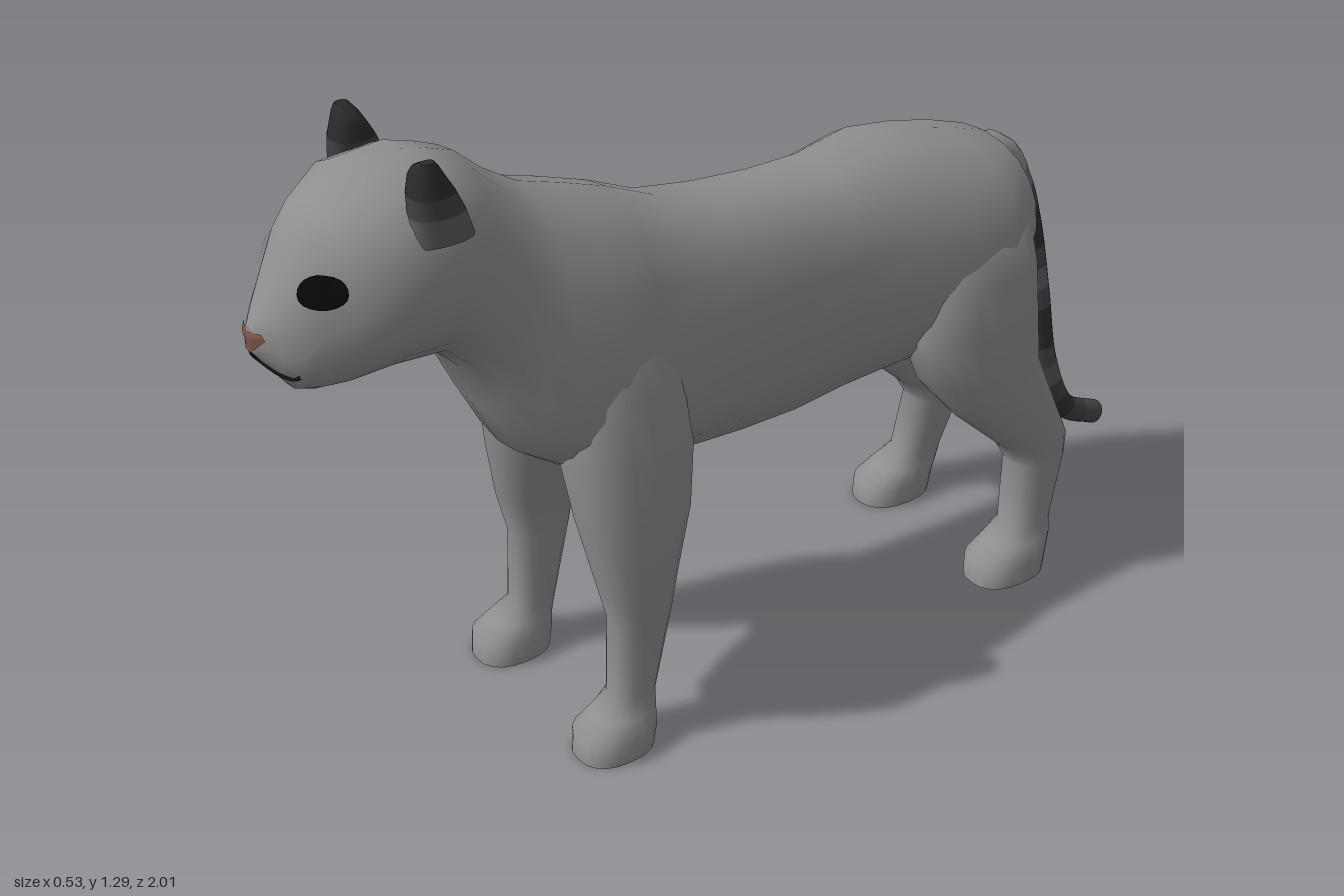
import * as THREE from 'three';

const SEG = 20;
const FUR = 0x8e8e8e;

// Skin a list of closed rings (arrays of [x, y, z]) and cap both ends.
function loft(rings) {
  const n = rings[0].length, pos = rings.flat(2), idx = [];
  for (let i = 0; i < rings.length - 1; i++) {
    for (let j = 0; j < n; j++) {
      const a = i * n + j, b = i * n + (j + 1) % n;
      idx.push(a, b, a + n, b, b + n, a + n);
    }
  }
  [rings[0], rings[rings.length - 1]].forEach((ring, end) => {
    const base = pos.length / 3;
    pos.push(...ring.flat());
    pos.push(...[0, 1, 2].map(k => ring.reduce((s, p) => s + p[k], 0) / n));
    for (let j = 0; j < n; j++) {
      const a = base + j, b = base + (j + 1) % n;
      end ? idx.push(a, b, base + n) : idx.push(b, a, base + n);
    }
  });
  const g = new THREE.BufferGeometry();
  g.setAttribute('position', new THREE.Float32BufferAttribute(pos, 3));
  g.setIndex(idx);
  g.computeVertexNormals();
  return g;
}

function part(name, geometry, color = FUR) {
  const m = new THREE.Mesh(geometry, new THREE.MeshStandardMaterial({ color }));
  m.name = name;
  return m;
}

const spow = (v, e) => Math.sign(v) * Math.pow(Math.abs(v), e);
const circle = f => Array.from({ length: SEG }, (_, j) => {
  const t = j / SEG * Math.PI * 2;
  return f(Math.cos(t), Math.sin(t));
});

// Upright limb: rows of [y, xInner, xOuter, zBack, zFront], rising in y.
function limb(rows, side) {
  return loft(rows.map(([y, x0, x1, z0, z1]) => circle((c, s) => [
    side * (x0 + x1) / 2 + (x1 - x0) / 2 * spow(c, 0.85),
    y,
    (z0 + z1) / 2 - (z1 - z0) / 2 * spow(s, 0.85),
  ])));
}

// Trunk, neck and head: [z, top, bottom, half width, height of widest point]
const trunk = [
  [-0.625, 0.925, 0.76, 0.10, 0.84],
  [-0.60, 0.95, 0.67, 0.175, 0.80],
  [-0.52, 0.975, 0.58, 0.215, 0.75],
  [-0.42, 1.00, 0.54, 0.218, 0.74],
  [-0.30, 1.02, 0.53, 0.195, 0.75],
  [-0.17, 1.00, 0.505, 0.168, 0.76],
  [-0.05, 1.00, 0.492, 0.17, 0.75],
  [0.08, 1.01, 0.497, 0.178, 0.75],
  [0.20, 1.03, 0.512, 0.187, 0.74],
  [0.30, 1.075, 0.52, 0.205, 0.72],
  [0.40, 1.11, 0.53, 0.22, 0.70],
  [0.48, 1.135, 0.585, 0.205, 0.76],
  [0.55, 1.18, 0.63, 0.18, 0.87],
  [0.60, 1.225, 0.73, 0.17, 0.97],
  [0.65, 1.243, 0.84, 0.172, 1.04],
  [0.70, 1.255, 0.895, 0.185, 1.06],
  [0.80, 1.245, 0.903, 0.187, 1.06],
  [0.87, 1.205, 0.882, 0.143, 1.04],
  [0.91, 1.17, 0.878, 0.11, 1.015],
  [0.945, 1.105, 0.888, 0.087, 0.975],
  [0.972, 1.055, 0.925, 0.062, 0.975],
  [1.00, 1.015, 0.965, 0.018, 0.99],
];

const foreleg = [
  [0, 0.125, 0.26, 0.365, 0.525],
  [0.045, 0.12, 0.265, 0.36, 0.52],
  [0.08, 0.135, 0.245, 0.355, 0.475],
  [0.11, 0.14, 0.228, 0.35, 0.442],
  [0.28, 0.135, 0.232, 0.308, 0.435],
  [0.37, 0.115, 0.248, 0.295, 0.455],
  [0.50, 0.075, 0.25, 0.255, 0.478],
  [0.63, 0.04, 0.25, 0.24, 0.493],
  [0.76, 0.04, 0.226, 0.25, 0.485],
  [0.86, 0.05, 0.197, 0.28, 0.465],
  [0.93, 0.05, 0.16, 0.32, 0.44],
];

const hindleg = [
  [0, 0.125, 0.26, -0.645, -0.465],
  [0.045, 0.12, 0.262, -0.65, -0.47],
  [0.08, 0.13, 0.245, -0.665, -0.52],
  [0.11, 0.135, 0.228, -0.672, -0.558],
  [0.25, 0.11, 0.222, -0.712, -0.58],
  [0.30, 0.105, 0.225, -0.715, -0.55],
  [0.42, 0.09, 0.24, -0.66, -0.42],
  [0.52, 0.075, 0.25, -0.615, -0.335],
  [0.63, 0.05, 0.248, -0.612, -0.30],
  [0.74, 0.04, 0.233, -0.61, -0.32],
  [0.83, 0.04, 0.20, -0.605, -0.36],
  [0.90, 0.04, 0.12, -0.57, -0.42],
];

const ear = [
  [1.15, 0.11, 0.178, 0.65, 0.765],
  [1.20, 0.105, 0.180, 0.665, 0.762],
  [1.235, 0.10, 0.178, 0.68, 0.76],
  [1.265, 0.102, 0.172, 0.697, 0.752],
  [1.28, 0.115, 0.166, 0.705, 0.748],
  [1.293, 0.14, 0.16, 0.715, 0.74],
];

export function createModel() {
  const model = new THREE.Group();
  model.name = 'bigCat';

  const body = part('body', loft(trunk.map(([z, top, bot, w, mid]) => circle((c, s) => [
    w * spow(c, 0.88),
    mid + (s > 0 ? top - mid : mid - bot) * spow(s, 0.88),
    z,
  ]))));
  model.add(body);

  // Legs and ears, mirrored; the ears darken towards the tip
  for (const [side, label] of [[1, 'left'], [-1, 'right']]) {
    model.add(part(label + 'Foreleg', limb(foreleg, side)));
    model.add(part(label + 'Hindleg', limb(hindleg, side)));
    model.add(part(label + 'EarBase', limb(ear.slice(0, 2), side), 0x5c5c5c));
    model.add(part(label + 'EarMiddle', limb(ear.slice(1, 3), side), 0x404040));
    model.add(part(label + 'EarTip', limb(ear.slice(2), side), 0x2a2a2a));
  }

  // Tail: bands of changing grey along one curve
  const path = new THREE.CatmullRomCurve3([
    [0.885, -0.55], [0.892, -0.63], [0.82, -0.702], [0.70, -0.745],
    [0.52, -0.785], [0.34, -0.822], [0.20, -0.89], [0.148, -0.988],
  ].map(([y, z]) => new THREE.Vector3(0, y, z)));
  const X = new THREE.Vector3(1, 0, 0);
  const tailRing = t => {
    const p = path.getPointAt(t), v = path.getTangentAt(t).cross(X);
    const flare = Math.max(0, 1 - t / 0.2);
    const w = 0.027 + 0.05 * flare, h = 0.027 + 0.03 * flare;
    return circle((c, s) => [w * c, p.y + v.y * h * s, p.z + v.z * h * s]);
  };
  const bands = [FUR, FUR, FUR, 0x707070, 0x484848, 0x303030, 0x303030, 0x484848, 0x606060,
    0x484848, 0x303030, 0x303030, 0x484848, 0x585858, 0x404040, 0x303030, 0x404040, 0x484848];
  const tail = new THREE.Group();
  tail.name = 'tail';
  bands.forEach((color, i) => tail.add(part('tailBand',
    loft([0, 0.5, 1].map(k => tailRing((i + k) / bands.length))), color)));
  model.add(tail);

  // Face details are laid on the head by projecting them along z
  const ray = new THREE.Raycaster();
  const onFace = (x, y, lift = 0.005) => {
    ray.set(new THREE.Vector3(x, y, 2), new THREE.Vector3(0, 0, -1));
    const hit = ray.intersectObject(body)[0];
    return hit.point.addScaledVector(hit.face.normal, lift);
  };
  const patch = (name, cx, cy, outline, color) => {
    const pos = [], idx = [], n = outline.length, rows = 5;
    for (let k = 0; k <= rows; k++) {
      for (const [x, y] of outline) {
        const f = Math.max(k / rows, 0.01);
        pos.push(...onFace(cx + x * f, cy + y * f).toArray());
      }
    }
    for (let k = 0; k < rows; k++) {
      for (let j = 0; j < n; j++) {
        const a = k * n + j, b = k * n + (j + 1) % n;
        idx.push(a, a + n, b, b, a + n, b + n);
      }
    }
    const g = new THREE.BufferGeometry();
    g.setAttribute('position', new THREE.Float32BufferAttribute(pos, 3));
    g.setIndex(idx);
    g.computeVertexNormals();
    model.add(part(name, g, color));
  };
  for (const [side, label] of [[1, 'left'], [-1, 'right']]) {
    patch(label + 'Eye', side * 0.1, 1.092, circle((c, s) => [0.033 * c, 0.029 * s]), 0x080808);
  }
  patch('nose', 0, 0.995, [[0.01, -0.024], [0.038, 0.006], [0.03, 0.015], [0, 0.012],
    [-0.03, 0.015], [-0.038, 0.006], [-0.01, -0.024]], 0x7c5446);

  // Mouth line
  const stroke = pts => model.add(part('mouth', new THREE.TubeGeometry(
    new THREE.CatmullRomCurve3(pts.map(([x, y]) => onFace(x, y, 0.001))), 16, 0.0035, 6), 0x151515));
  stroke([[0, 0.975], [0, 0.963], [0, 0.95]]);
  for (const s of [1, -1]) {
    stroke([[0, 0.95], [s * 0.02, 0.942], [s * 0.04, 0.933], [s * 0.06, 0.928], [s * 0.075, 0.936]]);
  }
  return model;
}
